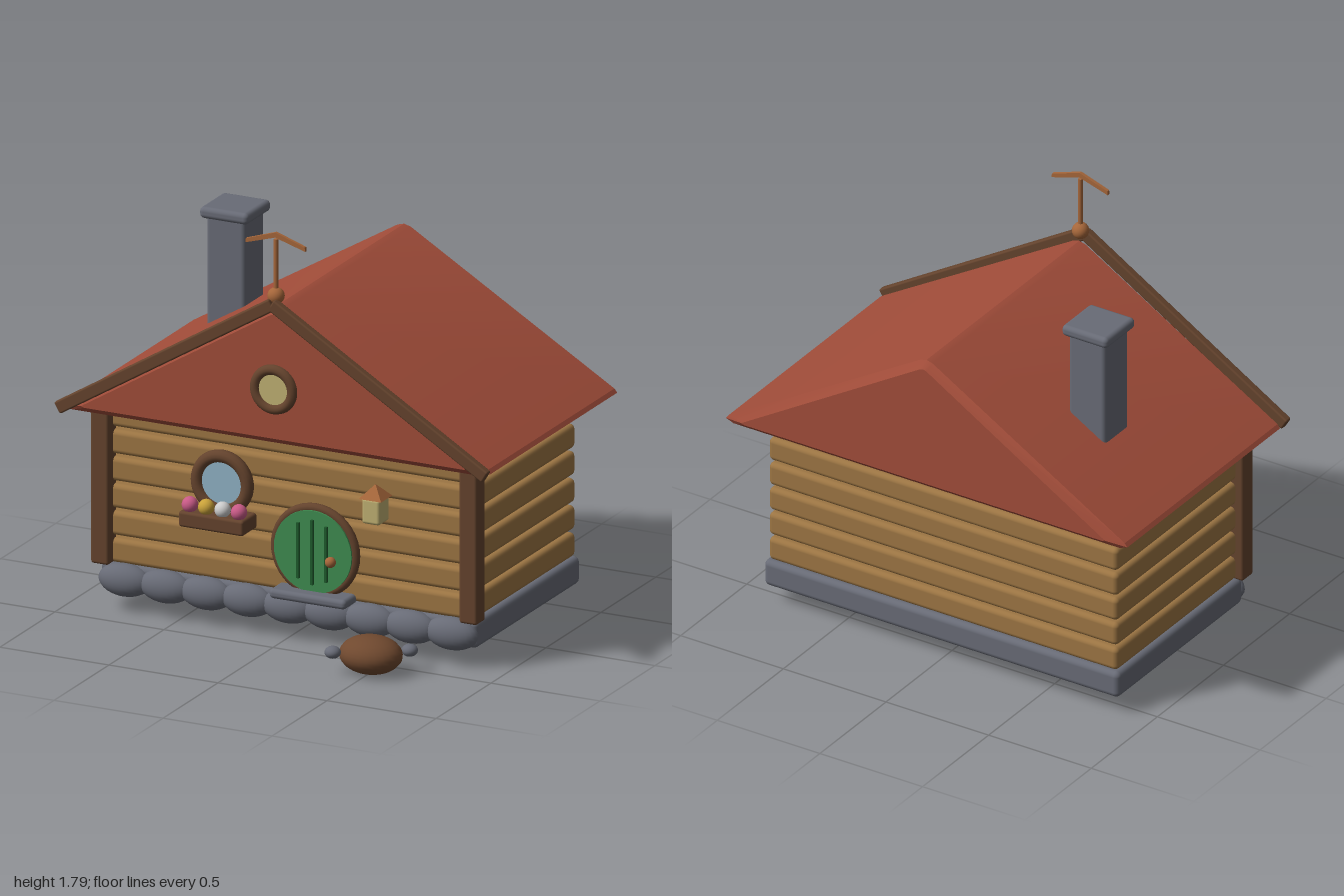
import * as THREE from 'three';
import { RoundedBoxGeometry } from 'three/addons/geometries/RoundedBoxGeometry.js';
import { toCreasedNormals } from 'three/addons/utils/BufferGeometryUtils.js';

const mat = (color) => new THREE.MeshStandardMaterial({ color });
const M = {
  stone: mat(0x686b76), log: mat(0x9c7543), beam: mat(0x64432d), roof: mat(0xa04c39),
  door: mat(0x3f8c50), slat: mat(0x1e5a2c), copper: mat(0xa5663a), glass: mat(0x8fb2c4),
  warm: mat(0xbfb072), shell: mat(0x70492f), pink: mat(0xc85a86), yellow: mat(0xc9a23a), white: mat(0xd2d2d2),
};

export function createModel() {
  const root = new THREE.Group();

  const add = (name, geo, material, x = 0, y = 0, z = 0) => {
    const m = new THREE.Mesh(geo, material);
    m.name = name;
    m.position.set(x, y, z);
    root.add(m);
    return m;
  };
  // Rounded box given by its limits on each axis
  const box = (name, material, [x0, x1], [y0, y1], [z0, z1], r = 0.015) =>
    add(name, new RoundedBoxGeometry(x1 - x0, y1 - y0, z1 - z0, 3, r), material,
      (x0 + x1) / 2, (y0 + y1) / 2, (z0 + z1) / 2);
  const ball = (name, material, x, y, z, rx, ry = rx, rz = rx) => {
    const m = add(name, new THREE.SphereGeometry(1, 24, 16), material, x, y, z);
    m.scale.set(rx, ry, rz);
    return m;
  };
  // Disc facing the front
  const disc = (name, material, x, y, z, r, depth) =>
    add(name, new THREE.CylinderGeometry(r, r, depth, 40).rotateX(Math.PI / 2), material, x, y, z);
  const ring = (name, x, y, z, r, tube) =>
    add(name, new THREE.TorusGeometry(r, tube, 12, 40), M.beam, x, y, z);

  // Foundation and the row of stones along its front
  box('foundation', M.stone, [-0.865, 0.865], [0.08, 0.2], [-0.587, 0.36], 0.025);
  for (let i = 0; i < 9; i++) {
    ball('foundationStone', M.stone, -0.75 + i * 0.1875, 0.135, 0.358, 0.118, 0.071, 0.06);
  }

  // Stacked log walls with narrow gaps, and front corner posts
  for (let i = 0; i < 6; i++) {
    const y = 0.2 + i * 0.1175;
    box('wallLog', M.log, [-0.85, 0.85], [y, y + 0.105], [-0.573, 0.36], 0.022);
  }
  for (const s of [-1, 1]) {
    box('cornerPost', M.beam, [s * 0.845 - 0.041, s * 0.845 + 0.041], [0.2, 0.89], [0.323, 0.405], 0.012);
  }

  // Gabled roof with bevelled ends
  add('roof', roofGeometry(), M.roof);
  for (const s of [-1, 1]) {
    const trim = add('gableTrim', new RoundedBoxGeometry(1.15, 0.054, 0.036, 2, 0.008), M.beam, s * 0.49, 1.189, 0.505);
    trim.rotation.z = -s * 0.546;
  }
  ring('gableWindowFrame', 0, 1.115, 0.492, 0.085, 0.022);
  disc('gableWindowGlass', M.warm, 0, 1.115, 0.49, 0.072, 0.02);

  // Chimney
  box('chimney', M.stone, [-0.64, -0.46], [0.95, 1.58], [-0.337, -0.157], 0.02);
  box('chimneyCap', M.stone, [-0.663, -0.44], [1.56, 1.61], [-0.361, -0.138], 0.02);

  // Roof finial with a chevron on a pole
  ball('finialBall', M.copper, 0, 1.515, 0.472, 0.036);
  add('finialPole', new THREE.CylinderGeometry(0.01, 0.01, 0.26, 12), M.copper, 0, 1.63, 0.472);
  const chevron = new THREE.Shape([
    [0, 1.79], [-0.135, 1.745], [-0.137, 1.727], [0, 1.768], [0.137, 1.727], [0.135, 1.745],
  ].map(([x, y]) => new THREE.Vector2(x, y)));
  add('finialChevron', new THREE.ExtrudeGeometry(chevron, { depth: 0.014, bevelEnabled: false }), M.copper, 0, 0, 0.465);

  // Round door
  const dx = 0.134, dy = 0.405;
  ring('doorFrame', dx, dy, 0.378, 0.183, 0.02);
  disc('door', M.door, dx, dy, 0.38, 0.178, 0.05);
  for (const [o, h] of [[-0.064, 0.24], [0, 0.28], [0.064, 0.24]]) {
    add('doorSlat', new THREE.BoxGeometry(0.012, h, 0.016), M.slat, dx + o, dy, 0.409);
  }
  ball('doorKnob', M.copper, 0.228, 0.382, 0.43, 0.023);
  box('doorStep', M.stone, [-0.042, 0.31], [0.193, 0.235], [0.34, 0.46], 0.018);

  // Round window with flower box
  ring('windowFrame', -0.295, 0.63, 0.375, 0.115, 0.027);
  disc('windowGlass', M.glass, -0.295, 0.63, 0.368, 0.1, 0.03);
  box('flowerBox', M.beam, [-0.443, -0.146], [0.45, 0.517], [0.35, 0.485], 0.012);
  [M.pink, M.yellow, M.white, M.pink].forEach((m, i) =>
    ball('flower', m, -0.406 + i * 0.075, 0.542, 0.45, 0.034));

  // Wall lantern
  box('lanternBody', M.warm, [0.384, 0.468], [0.583, 0.695], [0.365, 0.46], 0.014);
  const cap = new THREE.ConeGeometry(0.073, 0.057, 4, 1).toNonIndexed();
  cap.rotateY(Math.PI / 4).computeVertexNormals();
  add('lanternCap', cap, M.copper, 0.426, 0.718, 0.412);

  // Small shelled creature in front of the house
  ball('shell', M.shell, 0.502, 0.08, 0.604, 0.135, 0.08, 0.115);
  ball('creatureHead', M.stone, 0.37, 0.095, 0.69, 0.034, 0.026, 0.034);
  ball('creatureTail', M.stone, 0.64, 0.095, 0.525, 0.034, 0.026, 0.034);

  return root;
}

// Lofts the gable outline front to back, shrinking it at both ends
function roofGeometry() {
  const outer = [[-0.94, 0.875], [0.94, 0.875], [0.978, 0.889], [0.965, 0.905], [0.03, 1.462], [0, 1.47],
    [-0.03, 1.462], [-0.965, 0.905], [-0.978, 0.889]];
  const inner = [[-0.87, 0.9], [0.87, 0.9], [0.885, 0.905], [0.875, 0.912], [0.015, 1.434], [0, 1.438],
    [-0.015, 1.434], [-0.875, 0.912], [-0.885, 0.905]];
  const loops = [[inner, 0.49], [outer, 0.463], [outer, -0.693], [inner, -0.72]];
  const n = outer.length, pos = [], idx = [];
  for (const [pts, z] of loops) for (const [x, y] of pts) pos.push(x, y, z);
  for (let k = 0; k < 3; k++) {
    for (let i = 0; i < n; i++) {
      const a = k * n + i, b = k * n + (i + 1) % n;
      idx.push(a, a + n, b, b, a + n, b + n);
    }
  }
  for (let i = 1; i < n - 1; i++) idx.push(0, i, i + 1, 3 * n, 3 * n + i + 1, 3 * n + i);
  const g = new THREE.BufferGeometry();
  g.setAttribute('position', new THREE.Float32BufferAttribute(pos, 3));
  g.setIndex(idx);
  return toCreasedNormals(g, 0.35);
}
